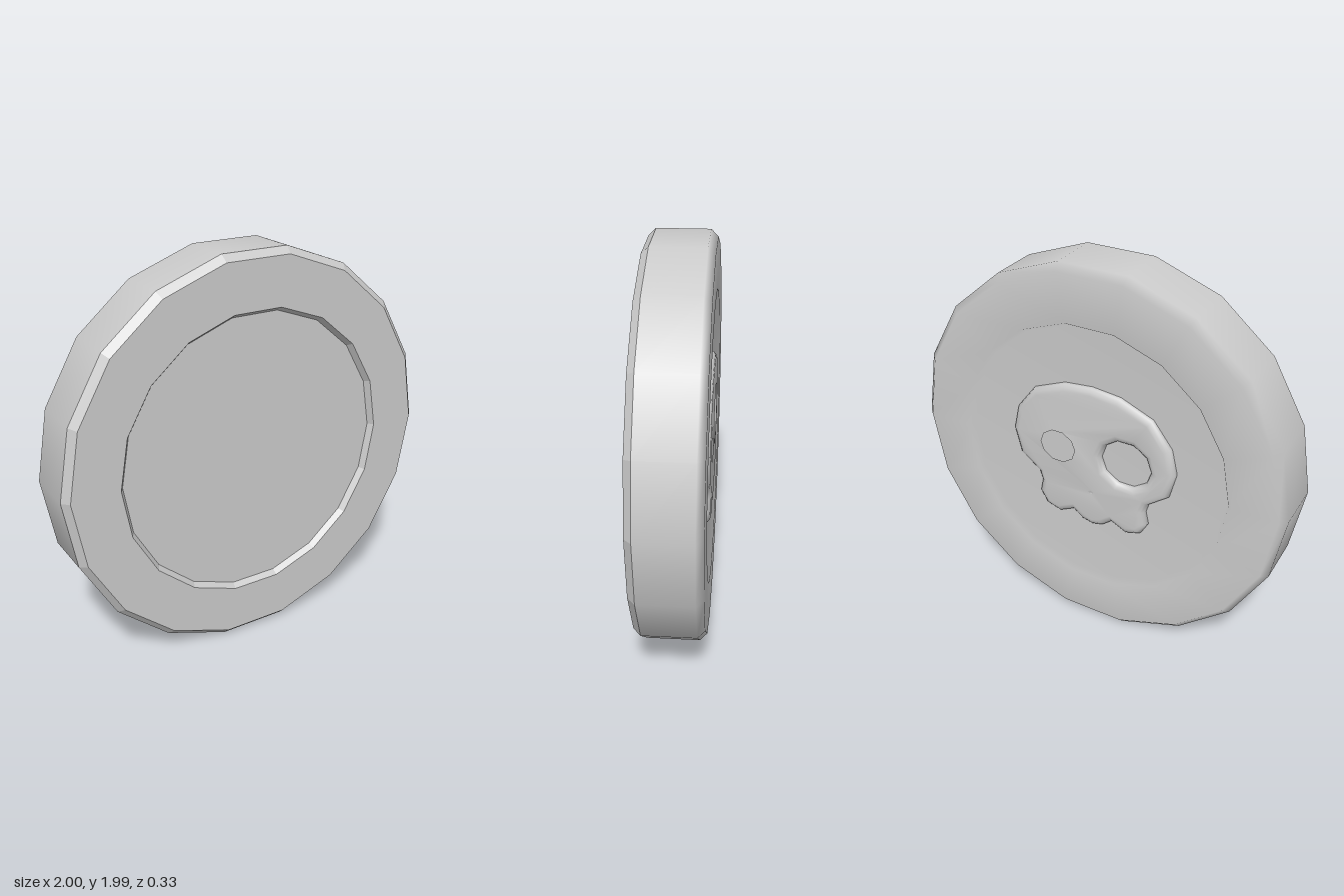
import * as THREE from 'three';
import { toCreasedNormals } from 'three/addons/utils/BufferGeometryUtils.js';

const SIDES = 18;
const CENTRE_Y = 0.995;
const FLOOR = 0.135; // depth of the recessed discs from the middle plane
const material = new THREE.MeshStandardMaterial({ color: 0xcccccc });

// Turned 18-sided surface whose axis runs along z, from back to front
function turned(profile) {
  const points = profile.map(([r, z]) => new THREE.Vector2(r, z));
  const geometry = new THREE.LatheGeometry(points, SIDES, Math.PI / SIDES);
  geometry.rotateX(Math.PI / 2);
  geometry.scale(1, 1.01, 1);
  return geometry;
}

function part(name, geometry, parent) {
  const mesh = new THREE.Mesh(geometry, material);
  mesh.name = name;
  parent.add(mesh);
  return mesh;
}

// Right half of an outline, mirrored into a closed loop
function mirrored(half) {
  const right = half.map(([x, y]) => new THREE.Vector2(x, y));
  const left = half.filter(([x]) => x > 0).reverse().map(([x, y]) => new THREE.Vector2(-x, y));
  return [...right, ...left];
}

function skullGeometry() {
  // Cranium, cheek and jaw with three tooth bumps
  const shape = new THREE.Shape(mirrored([
    [0, 0.415], [0.15, 0.4], [0.32, 0.33], [0.42, 0.2], [0.45, 0.07], [0.415, -0.07],
    [0.31, -0.15], [0.295, -0.2], [0.31, -0.27], [0.27, -0.34], [0.19, -0.365],
    [0.11, -0.325], [0.06, -0.365], [0, -0.38],
  ]));

  // Eye sockets
  for (const side of [-1, 1]) {
    const eye = [];
    for (let i = 0; i < 10; i++) {
      const a = (i / 10) * Math.PI * 2;
      eye.push(new THREE.Vector2(side * (0.185 + 0.135 * Math.cos(a)), 0.045 + 0.125 * Math.sin(a)));
    }
    shape.holes.push(new THREE.Path(eye));
  }

  // Nose
  shape.holes.push(new THREE.Path(mirrored([[0, -0.145], [0.03, -0.165], [0.045, -0.195], [0.02, -0.21], [0, -0.2]])));

  const geometry = new THREE.ExtrudeGeometry(shape, {
    depth: 0.004, bevelThickness: 0.03, bevelSize: 0.036, bevelOffset: -0.036, bevelSegments: 3,
  });
  geometry.rotateY(Math.PI);
  return toCreasedNormals(geometry, 1.2);
}

export function createModel() {
  const coin = new THREE.Group();
  coin.name = 'coin';

  // Rim wall and softly shaded back with its shallow recess
  const back = turned([
    [0, -FLOOR], [0.705, -FLOOR], [0.725, -0.165], [0.965, -0.165], [1, -0.13], [1, 0.13],
  ]);
  part('rimAndBack', back, coin).position.y = CENTRE_Y;

  // Crisp front face with chamfers and recess
  const front = turned([
    [1, 0.13], [0.967, 0.165], [0.725, 0.165], [0.705, FLOOR], [0, FLOOR],
  ]);
  part('frontFace', toCreasedNormals(front, 0.1), coin).position.y = CENTRE_Y;

  // Raised skull on the back
  part('skullRelief', skullGeometry(), coin).position.set(0, CENTRE_Y, -FLOOR + 0.004);

  return coin;
}
